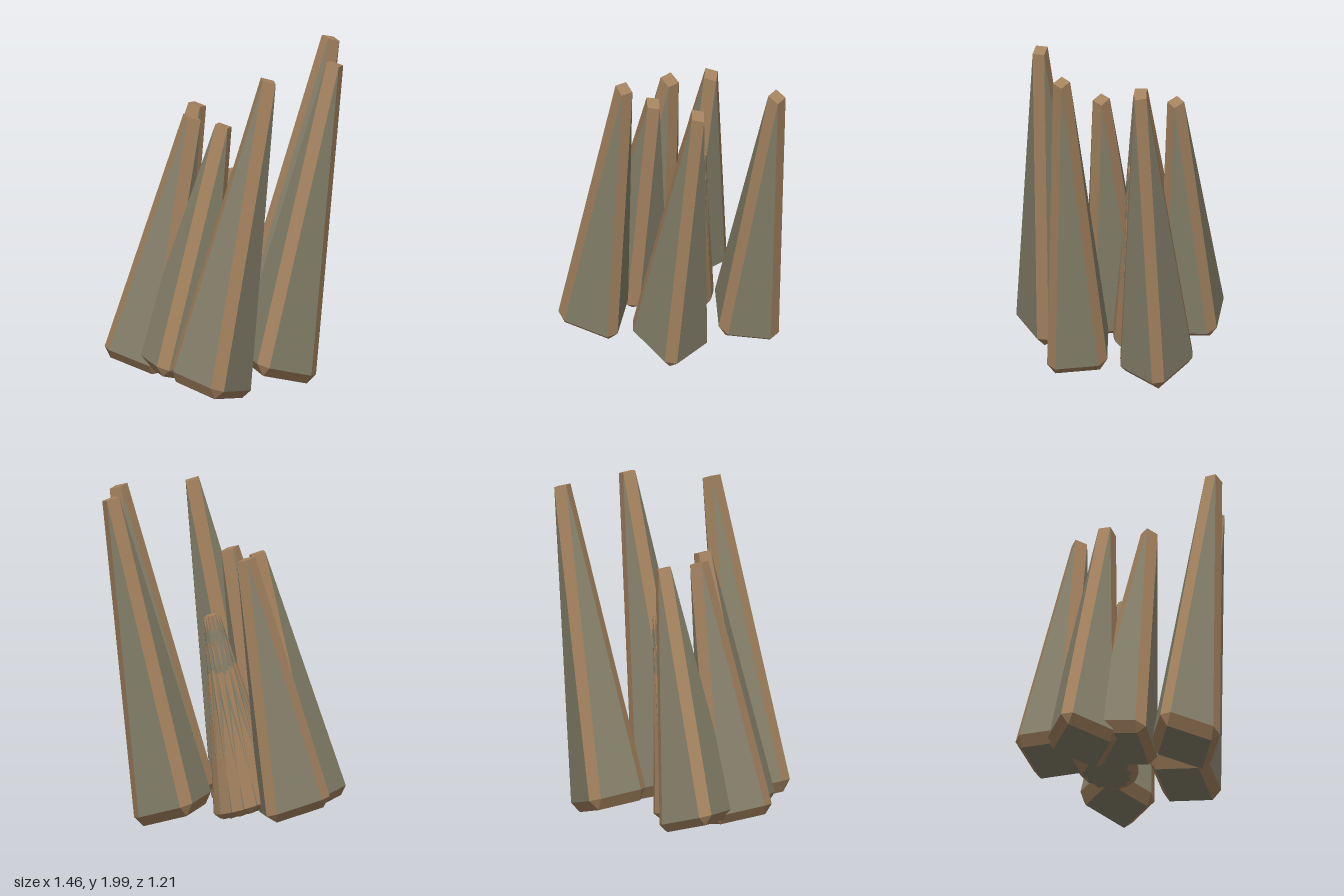
import * as THREE from 'three';

const tan = new THREE.MeshStandardMaterial({ color: 0xa5835f, flatShading: true });
tan.name = 'tan trim';
const sage = new THREE.MeshStandardMaterial({ color: 0x85806a, flatShading: true });
sage.name = 'sage panel';

// Direction of the tilted ground plane along x
const SLOPE_X = 1.08, SLOPE_Y = -0.33;

// Fan-triangulates convex faces, turning each one away from the centre
function facesGeometry(faces, centre) {
  const pos = [];
  for (const f of faces) {
    const n = f[1].clone().sub(f[0]).cross(f[2].clone().sub(f[0]));
    const pts = n.dot(f[0].clone().sub(centre)) < 0 ? [...f].reverse() : f;
    for (let i = 1; i < pts.length - 1; i++) {
      for (const p of [pts[0], pts[i], pts[i + 1]]) pos.push(p.x, p.y, p.z);
    }
  }
  const g = new THREE.BufferGeometry();
  g.setAttribute('position', new THREE.Float32BufferAttribute(pos, 3));
  g.computeVertexNormals();
  return g;
}

// Leaning four-sided spire with bevelled corners, bevelled foot and flat tip
function spire(name, { base, tip, r, w, yaw }) {
  const B = new THREE.Vector3(...base), T = new THREE.Vector3(...tip);
  const foot = B.clone().addScaledVector(T.clone().sub(B), -0.035);
  // Point at (out, side) of corner k, on the tilted plane through c
  const at = (c, k, out, side) => {
    const a = THREE.MathUtils.degToRad(yaw + 90 * k);
    const u = -out * Math.cos(a) + side * Math.sin(a);
    const v = out * Math.sin(a) + side * Math.cos(a);
    return new THREE.Vector3(c.x + u * SLOPE_X, c.y + u * SLOPE_Y, c.z + v);
  };
  const trim = [], panels = [], tipRing = [], footRing = [];
  for (let k = 0; k < 4; k++) {
    const n = k + 1;
    const l = at(B, k, r, -w), h = at(B, k, r, w);
    const nl = at(B, n, r, -w);
    const tl = at(T, k, w, -w), th = at(T, k, w, w);
    const f = at(foot, k, r - 0.03, 0), nf = at(foot, n, r - 0.03, 0);
    trim.push([l, h, th, tl]);      // corner strip
    trim.push([l, h, f]);           // foot corner
    trim.push([h, nl, nf, f]);      // foot bevel
    panels.push([h, nl, th]);       // side panel
    tipRing.push(th);
    footRing.push(f);
  }
  trim.push(tipRing);
  panels.push(footRing);

  const centre = B.clone().lerp(T, 0.2);
  const group = new THREE.Group();
  group.name = name;
  const trimMesh = new THREE.Mesh(facesGeometry(trim, centre), tan);
  trimMesh.name = 'trim';
  const panelMesh = new THREE.Mesh(facesGeometry(panels, centre), sage);
  panelMesh.name = 'panels';
  group.add(trimMesh, panelMesh);
  return group;
}

export function createModel() {
  const model = new THREE.Group();
  model.name = 'spireCluster';

  // Three tall spires and three shorter ones
  const spires = {
    tallFrontSpire: { base: [-0.185, 0.135, 0.39], tip: [0.165, 1.985, 0.375], r: 0.217, w: 0.036, yaw: 0 },
    tallBackSpire: { base: [0.31, 0.135, -0.385], tip: [0.68, 1.985, -0.385], r: 0.214, w: 0.036, yaw: 19 },
    tallSideSpire: { base: [0.265, 0.135, 0.115], tip: [0.615, 1.985, 0.12], r: 0.217, w: 0.036, yaw: -30 },
    shortBackSpire: { base: [-0.42, 0.135, -0.4], tip: [-0.13, 1.615, -0.385], r: 0.214, w: 0.036, yaw: -38 },
    shortMiddleSpire: { base: [-0.5, 0.135, -0.14], tip: [-0.205, 1.615, -0.145], r: 0.214, w: 0.038, yaw: 8 },
    shortFrontSpire: { base: [-0.345, 0.135, 0.045], tip: [-0.05, 1.615, 0.055], r: 0.214, w: 0.036, yaw: -27 },
  };
  for (const [name, spec] of Object.entries(spires)) model.add(spire(name, spec));

  // Many-ridged centre: small spires overlaid at different turns
  const core = new THREE.Group();
  core.name = 'ridgedCore';
  [2, 24, 47, 70].forEach((yaw, i) => core.add(spire('coreSpire' + (i + 1), {
    base: [-0.15, 0.11, -0.19], tip: [0.07, 1.245 + i * 0.002, -0.19], r: 0.19, w: 0.032, yaw,
  })));
  model.add(core);
  return model;
}
